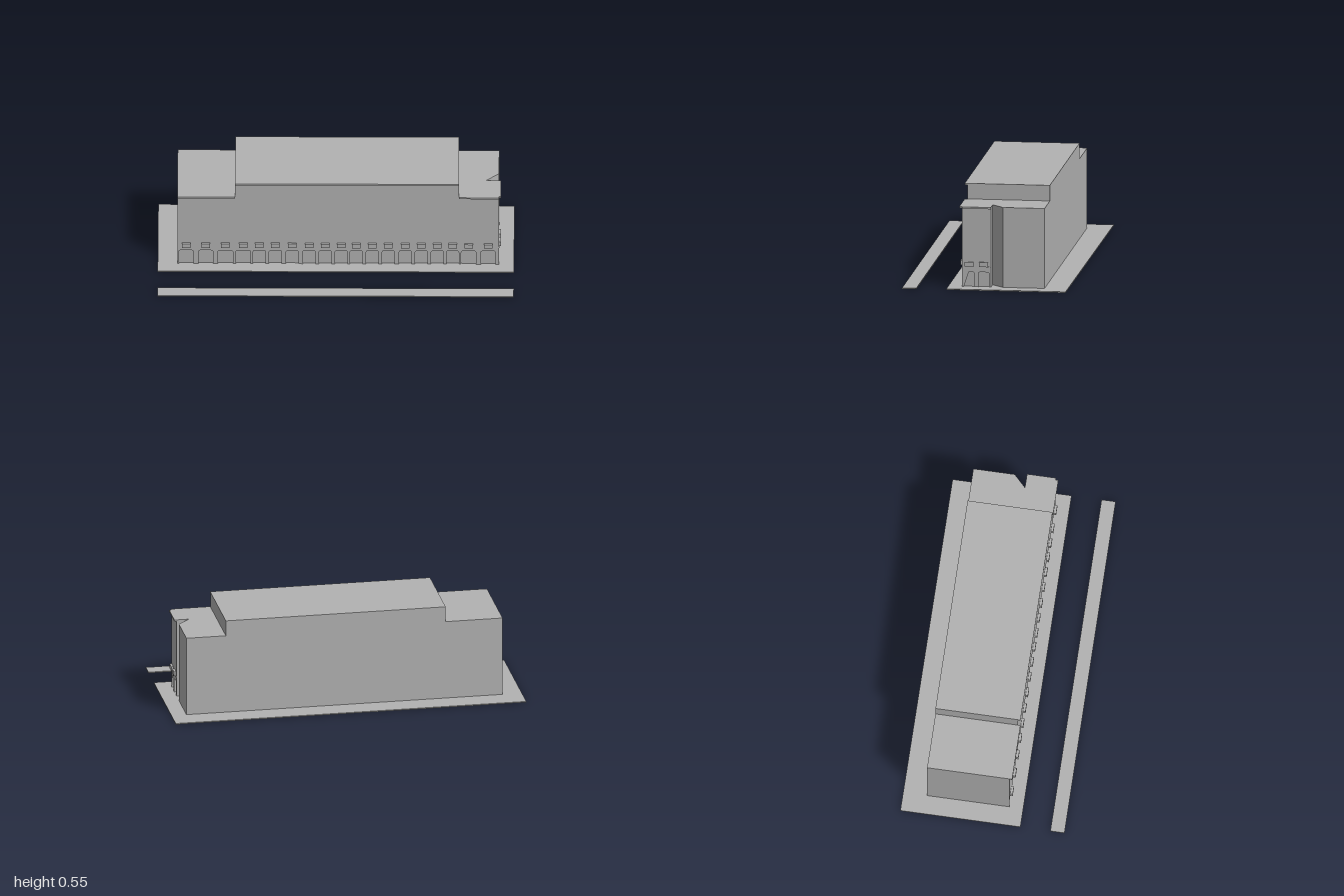
import * as THREE from 'three';

const BASE = 0.006, WING = 0.463, TOP = 0.552; // main levels
const FRONT = 0.137, BACK = -0.33, LEFT = -0.89, RIGHT = 0.915, NOTCH = -0.027;
const RECESS = 0.01;

export function createModel() {
  const model = new THREE.Group();
  model.name = 'building';
  const grey = new THREE.MeshStandardMaterial({ color: 0xb2b2b2 });
  grey.name = 'plain grey';

  const add = (name, geometry) => {
    const mesh = new THREE.Mesh(geometry, grey);
    mesh.name = name;
    model.add(mesh);
    return mesh;
  };

  // Box given by its limits on each axis
  const box = (name, x0, x1, y0, y1, z0, z1) => {
    const mesh = add(name, new THREE.BoxGeometry(x1 - x0, y1 - y0, z1 - z0));
    mesh.position.set((x0 + x1) / 2, (y0 + y1) / 2, (z0 + z1) / 2);
    return mesh;
  };

  // Vertical prism over a plan of [x, z] points
  const prism = (name, plan, y0, y1) => {
    const shape = new THREE.Shape(plan.map(([x, z]) => new THREE.Vector2(x, -z)));
    const geometry = new THREE.ExtrudeGeometry(shape, { depth: y1 - y0, bevelEnabled: false });
    add(name, geometry.rotateX(-Math.PI / 2).translate(0, y0, 0));
  };

  // Wall plate with round-cornered doorways cut up from its foot
  const arcade = (u0, u1, bays, doorTop) => {
    const r = 0.012;
    const shape = new THREE.Shape();
    shape.moveTo(u0, BASE);
    for (const [centre, width] of bays) {
      const a = centre - width / 2, b = centre + width / 2;
      shape.lineTo(a, BASE);
      shape.lineTo(a, doorTop - r);
      shape.quadraticCurveTo(a, doorTop, a + r, doorTop);
      shape.lineTo(b - r, doorTop);
      shape.quadraticCurveTo(b, doorTop, b, doorTop - r);
      shape.lineTo(b, BASE);
    }
    shape.lineTo(u1, BASE);
    shape.lineTo(u1, WING);
    shape.lineTo(u0, WING);
    shape.closePath();
    return new THREE.ExtrudeGeometry(shape, { depth: RECESS, bevelEnabled: false, curveSegments: 5 });
  };

  // Ground: pavement with a slightly skewed back edge, and the far kerb
  prism('pavement', [[-1, 0.215], [1, 0.215], [1, -0.46], [-1, -0.466]], 0, BASE);
  box('farKerb', -1, 1, 0, BASE, 0.385, 0.465);

  // Main body, notched on the left side
  prism('mainBody', [
    [LEFT, FRONT - RECESS], [RIGHT - RECESS, FRONT - RECESS], [RIGHT - RECESS, NOTCH],
    [0.845, NOTCH], [RIGHT, -0.095], [RIGHT, BACK], [LEFT, BACK],
  ], BASE, WING);
  box('upperStorey', -0.565, 0.69, WING, TOP, BACK, FRONT);

  // Front arcade and first-floor window boxes
  const centres = [-0.84, -0.73, -0.62, -0.52, -0.43, -0.34, -0.245, -0.15, -0.06, 0.03,
    0.115, 0.205, 0.295, 0.39, 0.48, 0.57, 0.655, 0.745, 0.855];
  const bays = centres.map((c, i) => [c, i < 4 || i > 16 ? 0.083 : 0.07]);
  add('frontArcade', arcade(LEFT, RIGHT, bays, 0.095)).position.z = FRONT - RECESS;
  for (const c of centres) box('frontWindow', c - 0.024, c + 0.024, 0.121, 0.147, FRONT, 0.152);

  // Side arcade, turned to face +x
  const sideCentres = [0.097, 0.015];
  const side = arcade(-(FRONT - RECESS), -NOTCH, sideCentres.map((z) => [-z, 0.061]), 0.09);
  add('sideArcade', side.rotateY(Math.PI / 2)).position.x = RIGHT - RECESS;
  for (const z of sideCentres) {
    box('sideWindow', RIGHT, 0.927, 0.121, 0.147, z - 0.025, z + 0.025);
  }
  box('sideBand', RIGHT, RIGHT + 0.003, 0.117, 0.122, NOTCH, FRONT);

  // Cornices
  box('wingCornice', LEFT, -0.565, 0.453, WING, FRONT, 0.152);
  box('wingCornice', 0.69, RIGHT, 0.453, WING, FRONT, 0.152);
  box('sideCornice', RIGHT, 0.927, 0.453, WING, NOTCH, FRONT);
  box('upperCornice', -0.565, 0.69, 0.541, TOP, FRONT, 0.152);

  return model;
}
